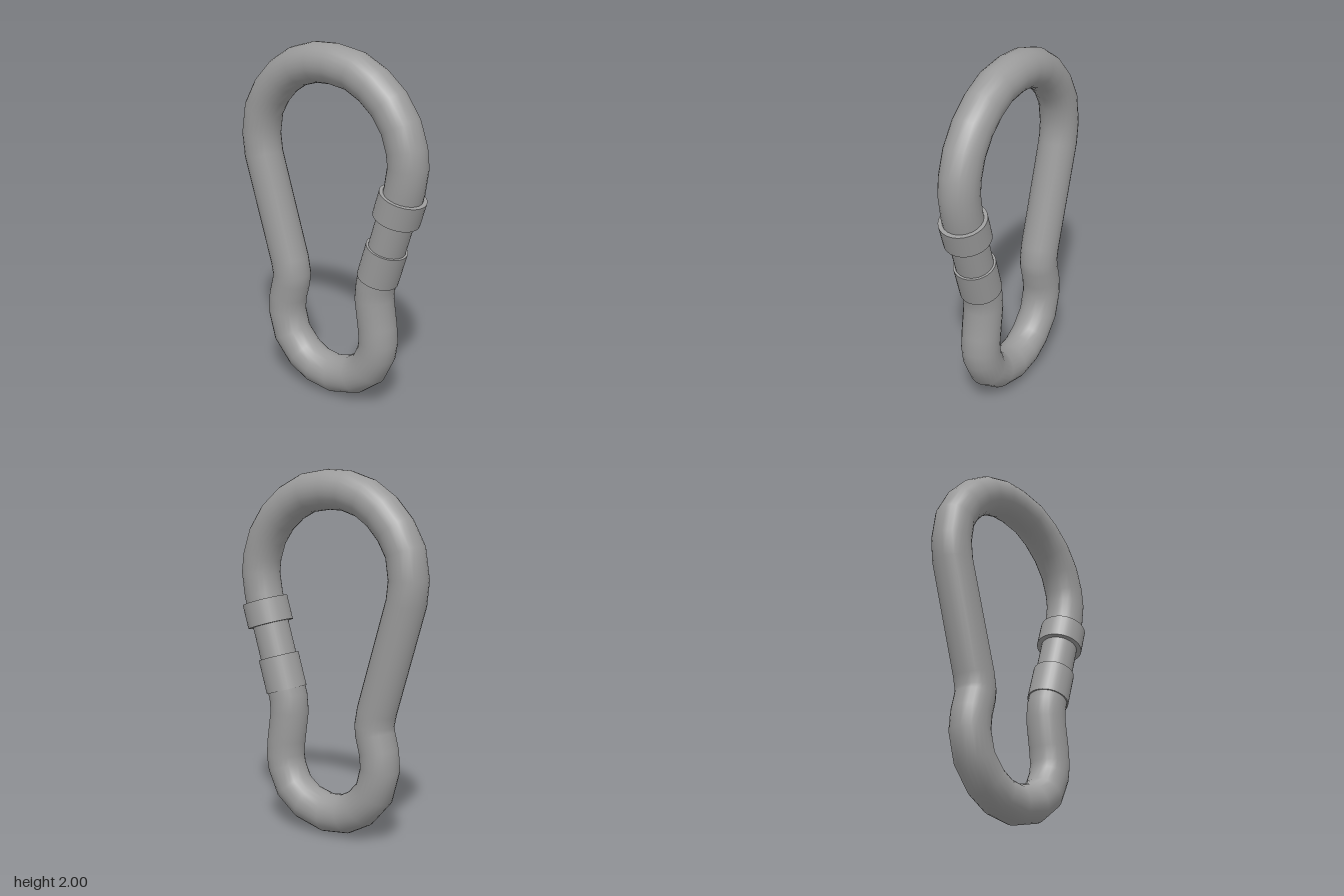
import * as THREE from 'three';

const BAR_RADIUS = 0.108;
const GATE_TILT = -0.298;

// Centre line of the bent bar, clockwise from inside the lower collar to inside the upper one
const PATH = [
  [0.344, 0.864], [0.303, 0.735], [0.295, 0.65], [0.318, 0.49], [0.326, 0.4], [0.315, 0.33],
  [0.264, 0.222], [0.166, 0.146], [0.025, 0.108], [-0.1, 0.122], [-0.198, 0.173],
  [-0.29, 0.275], [-0.327, 0.41], [-0.318, 0.505], [-0.293, 0.6], [-0.288, 0.645],
  [-0.303, 0.725], [-0.484, 1.32],
  [-0.497, 1.437], [-0.475, 1.58], [-0.413, 1.69], [-0.327, 1.782], [-0.225, 1.849],
  [-0.102, 1.887], [0.013, 1.893], [0.155, 1.873], [0.27, 1.817], [0.37, 1.735],
  [0.445, 1.63], [0.485, 1.515], [0.496, 1.425], [0.477, 1.3], [0.449, 1.201],
].map(([x, y]) => new THREE.Vector3(x, y, 0));

const LAST = PATH.length - 1;

// Curve that puts one ring exactly on each path point, mitred at the bends
class BentPath extends THREE.Curve {
  getPointAt(u, target = new THREE.Vector3()) {
    return target.copy(PATH[Math.round(u * LAST)]);
  }
  getTangentAt(u, target = new THREE.Vector3()) {
    const i = Math.round(u * LAST);
    const step = (a, b) => PATH[b].clone().sub(PATH[a]).normalize();
    target.set(0, 0, 0);
    if (i > 0) target.add(step(i - 1, i));
    if (i < LAST) target.add(step(i, i + 1));
    return target.normalize();
  }
}

export function createModel() {
  const group = new THREE.Group();
  group.name = 'carabiner';
  const material = new THREE.MeshStandardMaterial({ color: 0x9b9b9b });

  // Bar: the long bent loop, its ends hidden in the collars
  const bar = new THREE.Mesh(
    new THREE.TubeGeometry(new BentPath(), LAST, BAR_RADIUS, 24, false), material);
  bar.name = 'bar';
  group.add(bar);

  // Straight gate section: two collars joined by a slightly thinner pin
  const addGatePart = (name, x, y, radius, length) => {
    const part = new THREE.Mesh(new THREE.CylinderGeometry(radius, radius, length, 32), material);
    part.name = name;
    part.position.set(x, y, 0);
    part.rotation.z = GATE_TILT;
    group.add(part);
  };
  addGatePart('upperCollar', 0.449, 1.201, 0.129, 0.138);
  addGatePart('gatePin', 0.3965, 1.0325, 0.102, 0.35);
  addGatePart('lowerCollar', 0.344, 0.864, 0.115, 0.195);

  return group;
}
